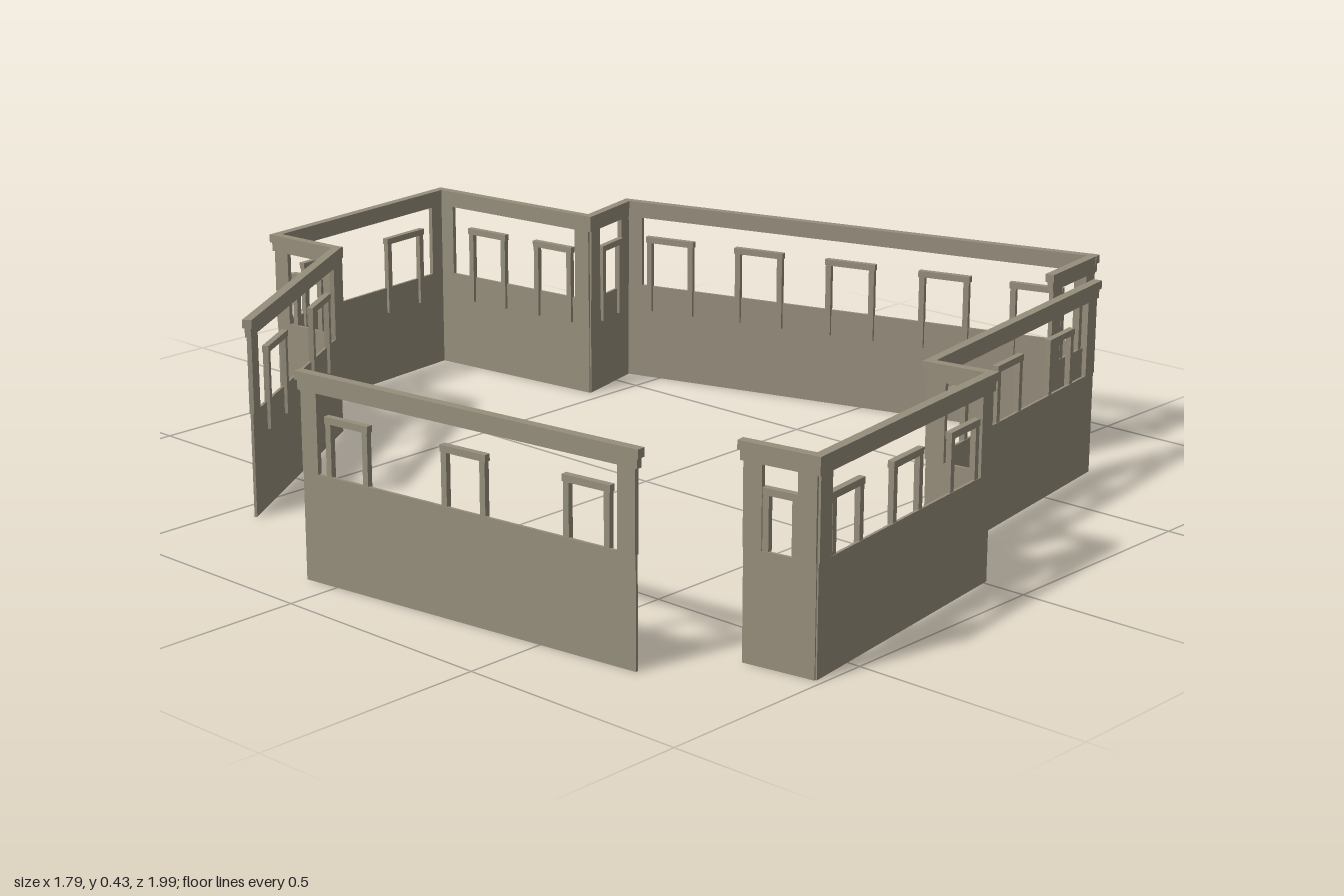
import * as THREE from 'three';

const stone = new THREE.MeshStandardMaterial({ color: 0x968e7c });
stone.name = 'stone';

const PANEL_TOP = 0.225, RAIL_BOTTOM = 0.39;

// Box spanning x0..x1 and y0..y1, with a given depth and depth offset
function slab(parent, name, x0, x1, y0, y1, depth, z = 0) {
  const mesh = new THREE.Mesh(new THREE.BoxGeometry(x1 - x0, y1 - y0, depth), stone);
  mesh.position.set((x0 + x1) / 2, (y0 + y1) / 2, z);
  mesh.name = name;
  parent.add(mesh);
}

// Window surround: two long jambs and a header on the inner side of the panel
function windowFrame(parent, center, width) {
  const frame = new THREE.Group();
  frame.name = 'windowFrame';
  const h = width / 2, bar = 0.013, z = 0.004;
  slab(frame, 'leftJamb', center - h, center - h + bar, 0.165, 0.332, 0.012, z);
  slab(frame, 'rightJamb', center + h - bar, center + h, 0.165, 0.332, 0.012, z);
  slab(frame, 'header', center - h - 0.002, center + h + 0.002, 0.332, 0.346, 0.014, z);
  parent.add(frame);
}

// Wall between two plan points; local +z points to the inside
function wall([ax, az], [bx, bz], windows, width) {
  const g = new THREE.Group();
  g.name = 'wall';
  const length = Math.hypot(bx - ax, bz - az);
  g.position.set(ax, 0, az);
  g.rotation.y = -Math.atan2(bz - az, bx - ax);

  slab(g, 'lowerPanel', 0, length, 0, PANEL_TOP, 0.006);
  slab(g, 'startPost', 0, 0.04, PANEL_TOP, RAIL_BOTTOM, 0.01);
  slab(g, 'endPost', length - 0.04, length, PANEL_TOP, RAIL_BOTTOM, 0.01);
  slab(g, 'lowerRail', -0.006, length + 0.006, RAIL_BOTTOM, 0.41, 0.013);
  slab(g, 'topRail', -0.01, length + 0.01, 0.41, 0.428, 0.02);
  for (const t of windows) windowFrame(g, t * length, width);
  return g;
}

// Each run: plan points (x, z), then window positions and width per wall
const RUNS = [
  {
    name: 'backAndLeftWalls',
    points: [[-0.722, -0.435], [-0.21, -0.745], [-0.225, -0.934], [0.337, -0.988],
      [0.386, -0.54], [0.561, -0.583], [0.882, 0.523], [0.69, 0.55]],
    walls: [[[0.25, 0.75], 0.125], [[0.5], 0.09], [[0.25, 0.75], 0.125], [[0.33, 0.77], 0.11],
      [[0.5], 0.09], [[0.1, 0.3, 0.5, 0.7, 0.89], 0.12], [[0.5], 0.1]],
  },
  {
    name: 'frontWalls',
    points: [[0.705, 0.653], [-0.01, 0.764], [0.01, 0.9], [-0.605, 0.983], [-0.629, 0.83]],
    walls: [[[0.21, 0.53, 0.85], 0.108], [[], 0], [[0.16, 0.5, 0.84], 0.106], [[0.5], 0.075]],
  },
  {
    name: 'rightWall',
    points: [[-0.795, 0.72], [-0.888, -0.078]],
    walls: [[[0.14, 0.5, 0.86], 0.106]],
  },
];

export function createModel() {
  const model = new THREE.Group();
  model.name = 'windowedEnclosure';
  for (const run of RUNS) {
    const group = new THREE.Group();
    group.name = run.name;
    run.walls.forEach(([windows, width], i) =>
      group.add(wall(run.points[i], run.points[i + 1], windows, width)));
    model.add(group);
  }
  return model;
}
